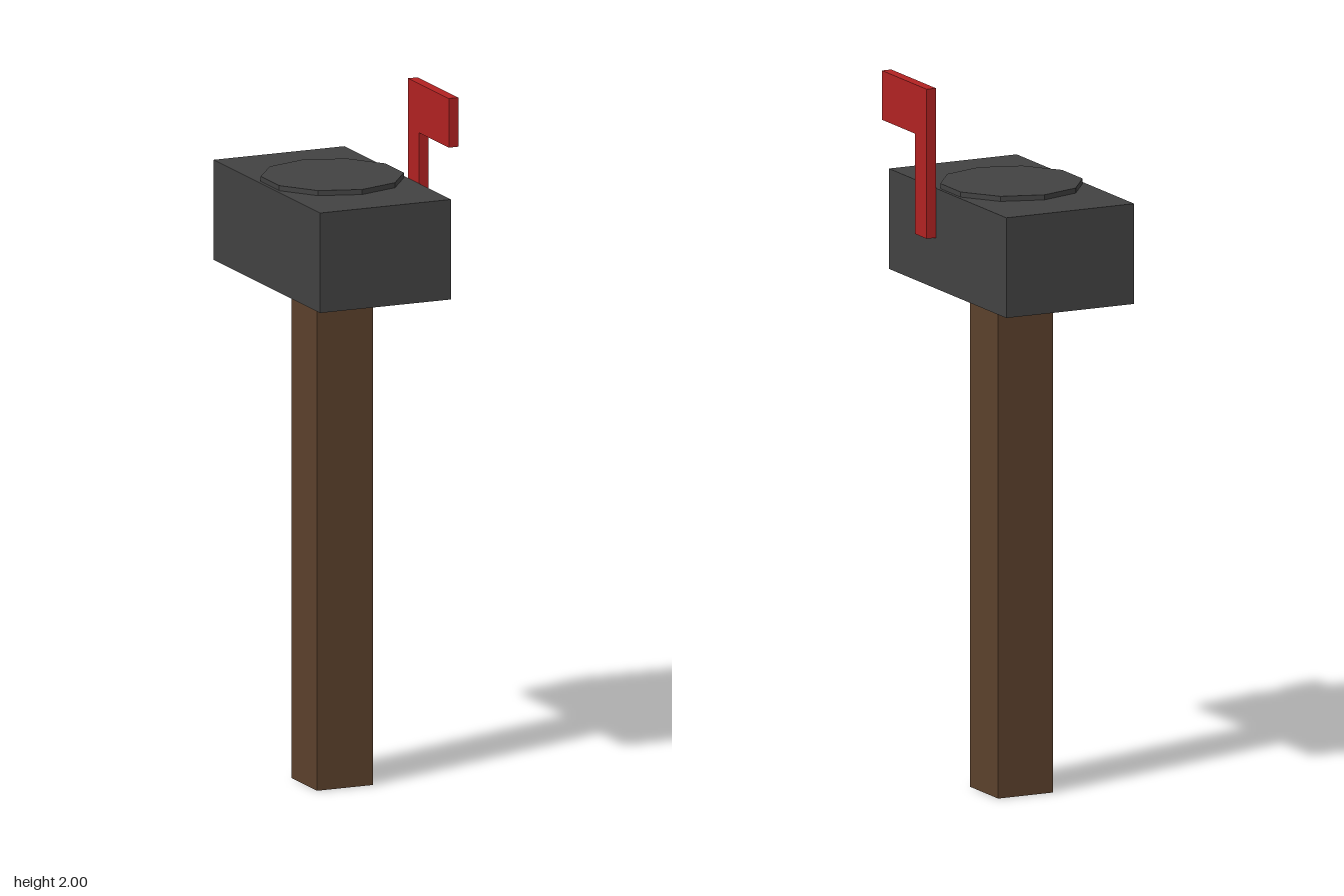
import * as THREE from 'three';

export function createModel() {
  const group = new THREE.Group();
  group.name = 'mailbox';

  const material = (name, color) => {
    const m = new THREE.MeshStandardMaterial({ color });
    m.name = name;
    return m;
  };
  const darkGrey = material('darkGrey', 0x424242);
  const woodBrown = material('woodBrown', 0x5c412c);
  const flagRed = material('flagRed', 0xb22222);

  const add = (name, geometry, mat, x, y, z) => {
    const mesh = new THREE.Mesh(geometry, mat);
    mesh.name = name;
    mesh.position.set(x, y, z);
    group.add(mesh);
  };

  // Square post and box share an axis just off centre, as the flag sticks out on +x
  const axis = -0.0145;
  add('post', new THREE.BoxGeometry(0.171, 1.43, 0.171), woodBrown, axis, 0.715, 0);
  add('box', new THREE.BoxGeometry(0.399, 0.285, 0.713), darkGrey, axis, 1.573, 0);

  // Shallow ten-sided disc on the lid
  const disc = new THREE.CylinderGeometry(0.2, 0.2, 0.03, 10).toNonIndexed();
  disc.computeVertexNormals();
  add('lidDisc', disc, darkGrey, axis, 1.715, 0);

  // Raised flag: one L-shaped plate, drawn as (-z, y) and turned to face +x
  const outline = [[-0.07, 1.575], [-0.07, 2], [-0.342, 2], [-0.342, 1.86], [-0.142, 1.86], [-0.142, 1.575]];
  const shape = new THREE.Shape(outline.map(([u, v]) => new THREE.Vector2(u, v)));
  const flag = new THREE.ExtrudeGeometry(shape, { depth: 0.029, bevelEnabled: false });
  flag.rotateY(Math.PI / 2);
  add('flag', flag, flagRed, 0.185, 0, 0);

  return group;
}
